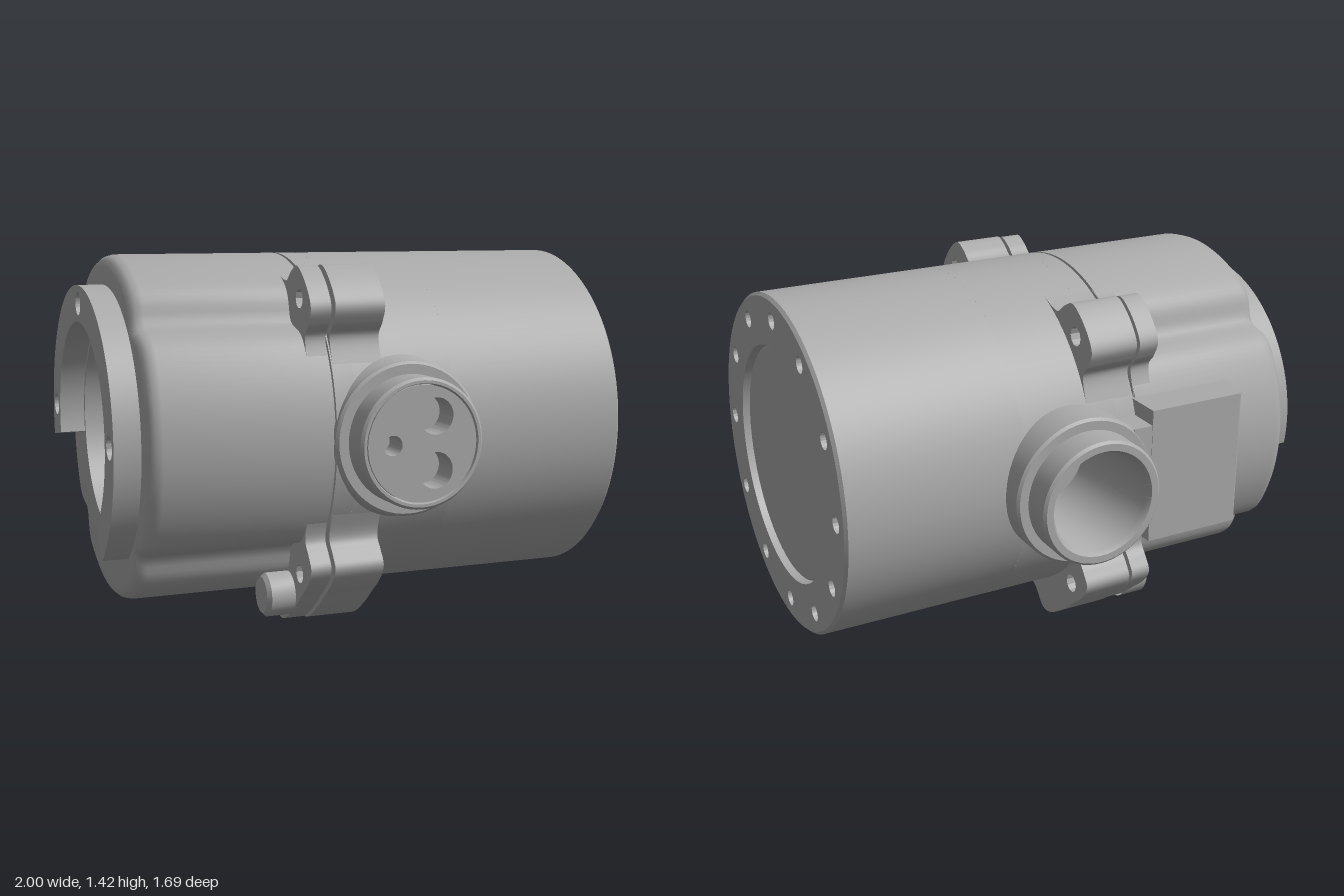
import * as THREE from 'three';
import { toCreasedNormals } from 'three/addons/utils/BufferGeometryUtils.js';

const TAU = Math.PI * 2;

export function createModel() {
  const metal = new THREE.MeshStandardMaterial({ color: 0xaaaaaa, side: THREE.DoubleSide });
  metal.name = 'cast grey metal';
  const model = new THREE.Group();
  model.name = 'cylindricalHousing';
  // local origin lies on the axis of the main cylinder
  const core = new THREE.Group();
  core.name = 'housing';
  core.position.set(0, 0.75, 0.03);
  model.add(core);

  function add(name, geo, x = 0, y = 0, z = 0) {
    const m = new THREE.Mesh(toCreasedNormals(geo, 0.6), metal);
    m.name = name;
    m.position.set(x, y, z);
    core.add(m);
    return m;
  }
  const lathe = (pts, seg = 96, start = 0, len = TAU) =>
    new THREE.LatheGeometry(pts.map(([r, h]) => new THREE.Vector2(r, h)), seg, start, len);
  // turned about the x axis; profile is [radius, x]
  const turnX = (...args) => lathe(...args).rotateZ(-Math.PI / 2);
  // turned about the z axis, pointing to +z or -z
  const turnZ = (pts, dir) => lathe(pts, 64).rotateX(dir * Math.PI / 2);
  const circle = (x, y, r) => new THREE.Path().absarc(x, y, r, 0, TAU, true);
  // plate in the (-z, y) plane, thick along x
  const plateX = (shape, depth) => new THREE.ExtrudeGeometry(shape,
    { depth, bevelEnabled: false, curveSegments: 48 }).rotateY(Math.PI / 2);

  // main cylinder, with a gap under the rear port
  const R = 0.67, gap = Math.asin(0.2 / R);
  add('mainCylinderInner', turnX([[0.6, -0.2], [R, -0.2], [R, -0.12]]));
  add('mainCylinderMiddle', turnX([[R, -0.12], [R, 0.28]], 96, Math.PI + gap, TAU - 2 * gap));
  add('mainCylinderOuter', turnX([[R, 0.28], [R, 0.988], [0.658, 1]]));
  add('seam', turnX([[0.655, -0.23], [0.655, -0.19]]));

  // end flange with twelve screw holes and a shallow centre recess
  const flange = new THREE.Shape().absarc(0, 0, 0.658, 0, TAU);
  flange.holes.push(circle(0, 0, 0.47));
  for (let i = 0; i < 12; i++) {
    const a = i * TAU / 12;
    flange.holes.push(circle(0.583 * Math.cos(a), 0.583 * Math.sin(a), 0.033));
  }
  add('endFlange', plateX(flange, 0.06), 0.94);
  add('flangeBacking', turnX([[0.66, 0.92], [0.66, 0.94], [0, 0.94]]));
  add('endCover', turnX([[0.462, 0.94], [0.462, 0.97], [0.455, 0.975], [0, 0.975]]));

  // left cover: a round section with four shallow flutes at the bolt lines
  const rows = [[-0.212, -0.03], [-0.212, 0], [-0.85, 0], [-0.875, -0.007], [-0.892, -0.022], [-0.9, -0.045], [-0.9, null]];
  const n = 192, pos = [], idx = [];
  for (const [x, off] of rows) for (let j = 0; j <= n; j++) {
    const t = j / n * TAU;
    const d = (t % (Math.PI / 2)) - Math.PI / 4;
    const r = off === null ? 0.4 : R + off - 0.065 * Math.exp(-((d / 0.12) ** 2));
    pos.push(x, r * Math.cos(t), r * Math.sin(t));
  }
  for (let i = 0; i < rows.length - 1; i++) for (let j = 0; j < n; j++) {
    const a = i * (n + 1) + j, b = a + n + 1;
    idx.push(a, b, a + 1, b, b + 1, a + 1);
  }
  const cover = new THREE.BufferGeometry();
  cover.setAttribute('position', new THREE.Float32BufferAttribute(pos, 3));
  cover.setIndex(idx);
  add('flutedCover', cover);
  add('mainBore', turnX([[0, 0.9], [0.4, 0.9], [0.4, -0.9]]));

  // interrupted collar around the bore, with screw holes
  const a0 = -10 * Math.PI / 180, a1 = 234 * Math.PI / 180;
  const collar = new THREE.Shape();
  collar.absarc(0, 0, 0.555, a0, a1, false);
  collar.absarc(0, 0, 0.415, a1, a0, true);
  for (const a of [0.08, Math.PI / 2, Math.PI])
    collar.holes.push(circle(0.485 * Math.cos(a), 0.485 * Math.sin(a), 0.045));
  add('boreCollar', plateX(collar, 0.1), -1);
  const screw = [[0, -0.925], [0.04, -0.925], [0.04, -0.89]];
  add('lowerScrew', turnX(screw, 24), 0, -0.49, 0);

  // bolt lugs: outlines are [distance from centre plane, height from axis]
  const upper = [[0.275, 0.61], [0.375, 0.58], [0.43, 0.615], [0.49, 0.64], [0.55, 0.61], [0.61, 0.55],
    [0.64, 0.49], [0.615, 0.43], [0.58, 0.375], [0.61, 0.275]];
  const lower = [[0.61, -0.275], [0.58, -0.375], [0.615, -0.43], [0.643, -0.48], [0.61, -0.54], [0.53, -0.61],
    [0.46, -0.67], [0.375, -0.727], [0.32, -0.746], [0.275, -0.735], [0.225, -0.68], [0.16, -0.65]];
  for (const side of [1, -1]) for (const [label, pts, up] of [['upper', upper, 1], ['lower', lower, -1]]) {
    const p = pts.map(([u, v]) => new THREE.Vector2(side * u, v));
    const s = new THREE.Shape();
    s.moveTo(p[0].x, p[0].y);
    s.splineThru(p.slice(1));
    s.lineTo(side * 0.41, up * 0.41);
    s.holes.push(circle(side * 0.52, up * 0.52, 0.037));
    const lug = (depth) => new THREE.ExtrudeGeometry(s, { depth, bevelEnabled: false, curveSegments: 5 })
      .rotateY(Math.PI / 2);
    add(label + 'BodyLug', lug(0.195), -0.195);
    add(label + 'CoverLug', lug(0.08), -0.29).scale.set(1, 0.995, 0.995);
    // stub beside each lower lug
    if (up < 0) add('lowerStub', turnX([[0, -0.4], [0.07, -0.4], [0.085, -0.385], [0.085, -0.28]], 32),
      0, -0.62, side * 0.39);
  }

  // front port, closed by a plug with three holes
  const px = 0.08;
  add('frontPort', turnZ([[0.32, 0.55], [0.3, 0.62], [0.29, 0.65], [0.29, 0.68], [0.28, 0.69], [0, 0.69]], 1), px);
  add('frontPortRim', turnZ([[0.243, 0.68], [0.243, 0.8], [0.233, 0.81], [0.222, 0.81], [0.218, 0.8], [0.218, 0.69]], 1), px);
  const plug = new THREE.Shape().absarc(0, 0, 0.216, 0, TAU);
  plug.holes.push(circle(0.053, 0.1, 0.068), circle(0.053, -0.1, 0.068), circle(-0.118, 0, 0.037));
  add('frontPlug', new THREE.ExtrudeGeometry(plug, { depth: 0.115, bevelEnabled: false, curveSegments: 32 }), px, 0, 0.69);

  // rear port, open
  add('rearPort', turnZ([[0.29, 0.52], [0.29, 0.75], [0.28, 0.76], [0.245, 0.76], [0.245, 0.87], [0.235, 0.88],
    [0.208, 0.88], [0.195, 0.86], [0.195, 0.4], [0, 0.4]], -1), px);

  // flat raised pad beside the rear port, with a sloped outer edge
  const pad = new THREE.Shape([[-0.2, -0.5], [-0.2, -0.76], [-0.595, -0.76], [-0.61, -0.745], [-0.61, -0.68], [-0.63, -0.65], [-0.63, -0.5]]
    .map(([x, z]) => new THREE.Vector2(x, -z)));
  add('rearPad', new THREE.ExtrudeGeometry(pad, { depth: 0.54, bevelEnabled: false }).rotateX(-Math.PI / 2), 0, -0.27, 0);
  // short bridge from the pad to the port
  add('padBridge', new THREE.BoxGeometry(0.14, 0.42, 0.24), -0.19, 0, -0.638);

  return model;
}
